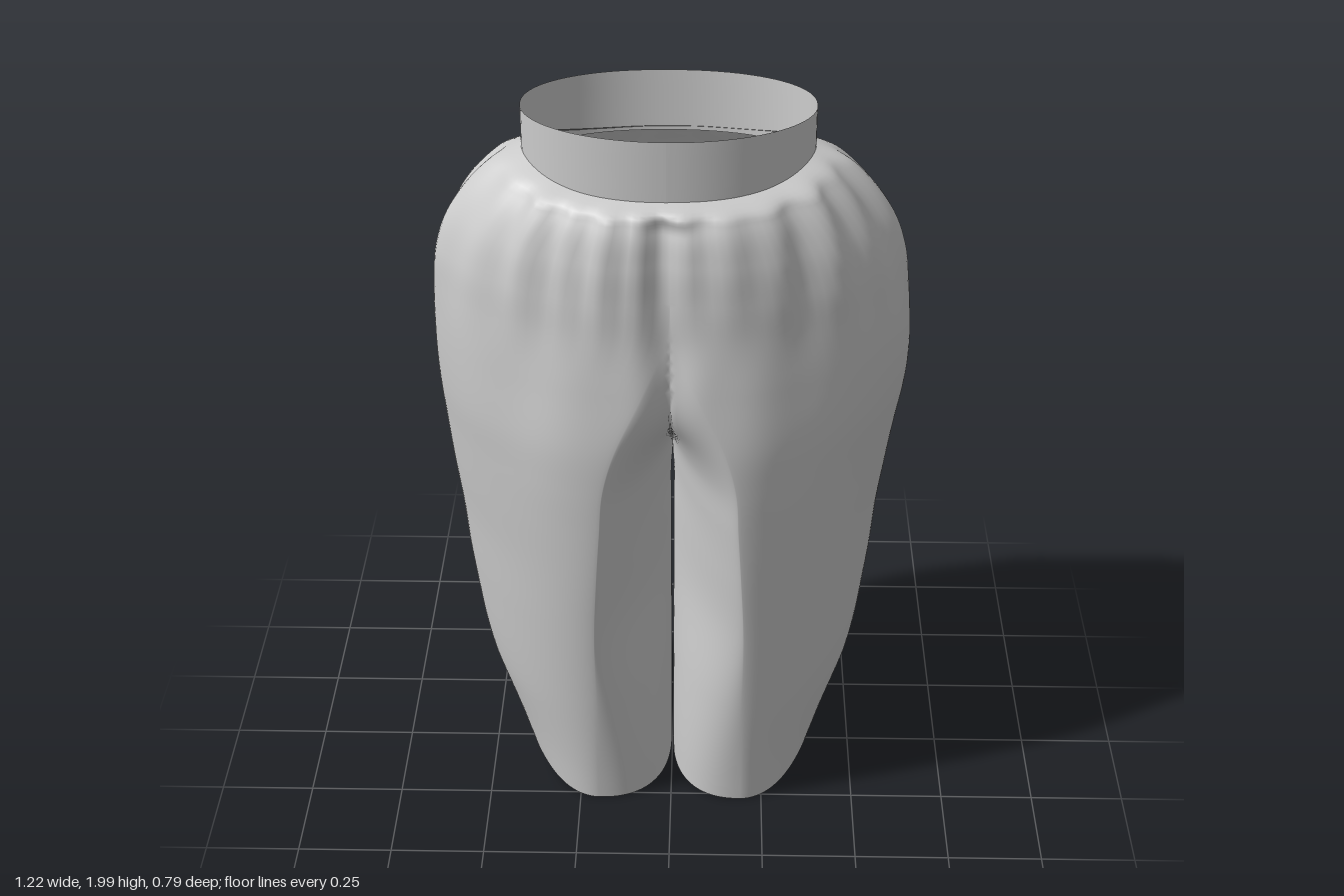
import * as THREE from 'three';
import { mergeVertices } from 'three/addons/utils/BufferGeometryUtils.js';

const cloth = new THREE.MeshStandardMaterial({ color: 0xcccccc, roughness: 0.9, side: THREE.DoubleSide });

// Cross-section by height: y, outer x, inner x (negative = past the middle), x of the crest,
// z of the widest point, front z, back z, squareness of outer front, outer back and inner front
const KEYS = [
  [0.00, 0.43, 0.002, 0.20, -0.14, 0.27, 0.285, 1.8, 3.4, 2.4],
  [0.10, 0.46, 0.002, 0.20, -0.14, 0.28, 0.288, 1.75, 3.2, 2.3],
  [0.35, 0.525, 0.002, 0.20, -0.12, 0.31, 0.295, 1.7, 2.8, 1.8],
  [0.60, 0.558, 0.003, 0.20, -0.10, 0.34, 0.295, 1.65, 2.6, 1.35],
  [0.80, 0.575, 0.003, 0.19, -0.08, 0.365, 0.29, 1.62, 2.5, 1.3],
  [0.95, 0.59, 0.002, 0.18, -0.06, 0.38, 0.325, 1.62, 2.3, 1.35],
  [1.08, 0.60, -0.02, 0.17, -0.04, 0.39, 0.36, 1.62, 2.15, 1.4],
  [1.20, 0.608, -0.10, 0.14, -0.02, 0.397, 0.38, 1.65, 2.1, 1.5],
  [1.36, 0.61, -0.36, 0.07, 0, 0.395, 0.395, 1.7, 2.1, 1.5],
  [1.50, 0.605, -0.57, 0.01, 0, 0.39, 0.388, 1.77, 2.1, 1.6],
  [1.60, 0.590, -0.590, 0, 0, 0.387, 0.365, 1.8, 2.1, 1.8],
  [1.70, 0.548, -0.548, 0, 0, 0.38, 0.335, 1.82, 2.05, 1.8],
  [1.80, 0.458, -0.458, 0, 0, 0.355, 0.295, 1.9, 2.05, 1.9],
  [1.83, 0.412, -0.412, 0, 0, 0.33, 0.275, 2.0, 2.1, 2.0],
  [1.85, 0.357, -0.357, 0, 0, 0.276, 0.247, 2.0, 2.15, 2.0],
];
const profile = new THREE.CubicInterpolant(KEYS.map((k) => k[0]), KEYS.flatMap((k) => k.slice(1)), 9);
const smooth = THREE.MathUtils.smoothstep;
const bell = (v, mid, width) => Math.exp(-(((v - mid) / width) ** 2));
const signedPow = (v, p) => Math.sign(v) * Math.abs(v) ** p;

// Point on one leg and its half of the hips; side is +1 for left, -1 for right
function clothPoint(side, row, angle) {
  const [xOut, xIn, xMid, zWide, zF, zB, nF, nB, nInner] = profile.evaluate(row);
  const c = Math.cos(angle), s = Math.sin(angle);
  const inner = c < 0;
  const n = inner ? (s > 0 ? nInner : 1.65) : (s > 0 ? nF : nB);
  const zMid = inner ? 0 : zWide;
  let x = Math.max(0, xMid + (inner ? xMid - xIn : xOut - xMid) * signedPow(c, 2 / n));
  let z = zMid + (s > 0 ? zF - zMid : zB + zMid) * signedPow(s, 2 / n);
  const outer = Math.max(0, c) ** 4;

  // gathers under the waistband, running out into a few long folds
  const phi = Math.atan2(z, side * x);
  const top = smooth(row, 1.4, 1.75) * (1 - smooth(row, 1.81, 1.85));
  const gather = 0.02 * Math.sin(23 * phi + 1.6 * Math.sin(3 * phi)) + 0.014 * Math.sin(13 * phi + 1);
  const folds = 0.009 * Math.sin(11 * phi + 2 * row) * bell(row, 1.4, 0.3);
  const scale = 1 + gather * top + folds * (1 - outer);
  x *= scale;
  z *= scale;

  // shallow hollow down the middle of the front
  if (z > 0) z -= 0.04 * bell(x, 0, 0.06) * smooth(row, 1.2, 1.5) * (1 - smooth(row, 1.78, 1.85));
  // slack creases behind the knees
  if (z < 0) {
    z += 0.009 * Math.sin(21 * row + side * 3 + 7 * x) * bell(row, 0.72, 0.32) * Math.min(1, x * 8) * Math.min(1, -z * 5);
  }
  // slightly slimmer left half
  if (side > 0) x *= 0.962 + 0.036 * bell(row, 1.3, 0.25);

  // hem rises to a notch at the outer side, top edge tilts back and puffs at the sides
  const rim = smooth(row, 1.65, 1.85);
  const notch = inner ? 0 : Math.max(0, 1 - Math.abs(z) / 0.28) * smooth(x * side * side, 0.2, 0.38);
  const y = row + 0.012 + 0.06 * Math.abs(notch) * Math.max(0, 1 - row / 0.3)
    + (0.08 * z - 0.036) * rim + 0.05 * outer * rim;
  return [x * side, y, z];
}

// Both legs and the hips as one surface, joined along the middle
function shortsGeometry() {
  const rows = 110, cols = 144, pos = [], index = [];
  for (const side of [1, -1]) {
    const base = pos.length / 3;
    for (let r = 0; r <= rows; r++) {
      const row = 1.85 * (1 - (1 - r / rows) ** 1.35);
      for (let c = 0; c < cols; c++) pos.push(...clothPoint(side, row, (c / cols) * Math.PI * 2));
    }
    const tri = (i, j, k) => {
      // leave out whatever lies on the middle plane
      if ([i, j, k].every((v) => Math.abs(pos[v * 3]) < 1e-6)) return;
      index.push(...(side > 0 ? [i, j, k] : [i, k, j]));
    };
    for (let r = 0; r < rows; r++) {
      for (let c = 0; c < cols; c++) {
        const p = base + r * cols + c, q = base + r * cols + ((c + 1) % cols);
        tri(p, p + cols, q);
        tri(q, p + cols, q + cols);
      }
    }
  }
  let g = new THREE.BufferGeometry();
  g.setAttribute('position', new THREE.Float32BufferAttribute(pos, 3));
  g.setIndex(index);
  g = mergeVertices(g, 1e-4);
  g.computeVertexNormals();
  return g;
}

// Flat oval band, flatter behind and lower at the back
function waistbandGeometry() {
  const g = new THREE.CylinderGeometry(1, 1, 1, 96, 4, true);
  const p = g.attributes.position;
  for (let i = 0; i < p.count; i++) {
    const s = p.getZ(i), c = p.getX(i), t = p.getY(i) + 0.5;
    const n = s > 0 ? 2 : 2.15;
    const z = (s > 0 ? 0.283 : 0.25 + 0.01 * t) * signedPow(s, 2 / n);
    p.setXYZ(i, -0.01 + 0.362 * signedPow(c, 2 / n), THREE.MathUtils.lerp(1.815, 1.976, t) + 0.085 * z, z);
  }
  g.computeVertexNormals();
  return g;
}

export function createModel() {
  const group = new THREE.Group();
  group.name = 'gatheredShorts';
  const add = (name, geometry) => {
    const mesh = new THREE.Mesh(geometry, cloth);
    mesh.name = name;
    group.add(mesh);
  };
  add('hipsAndLegs', shortsGeometry());
  add('waistband', waistbandGeometry());
  return group;
}
